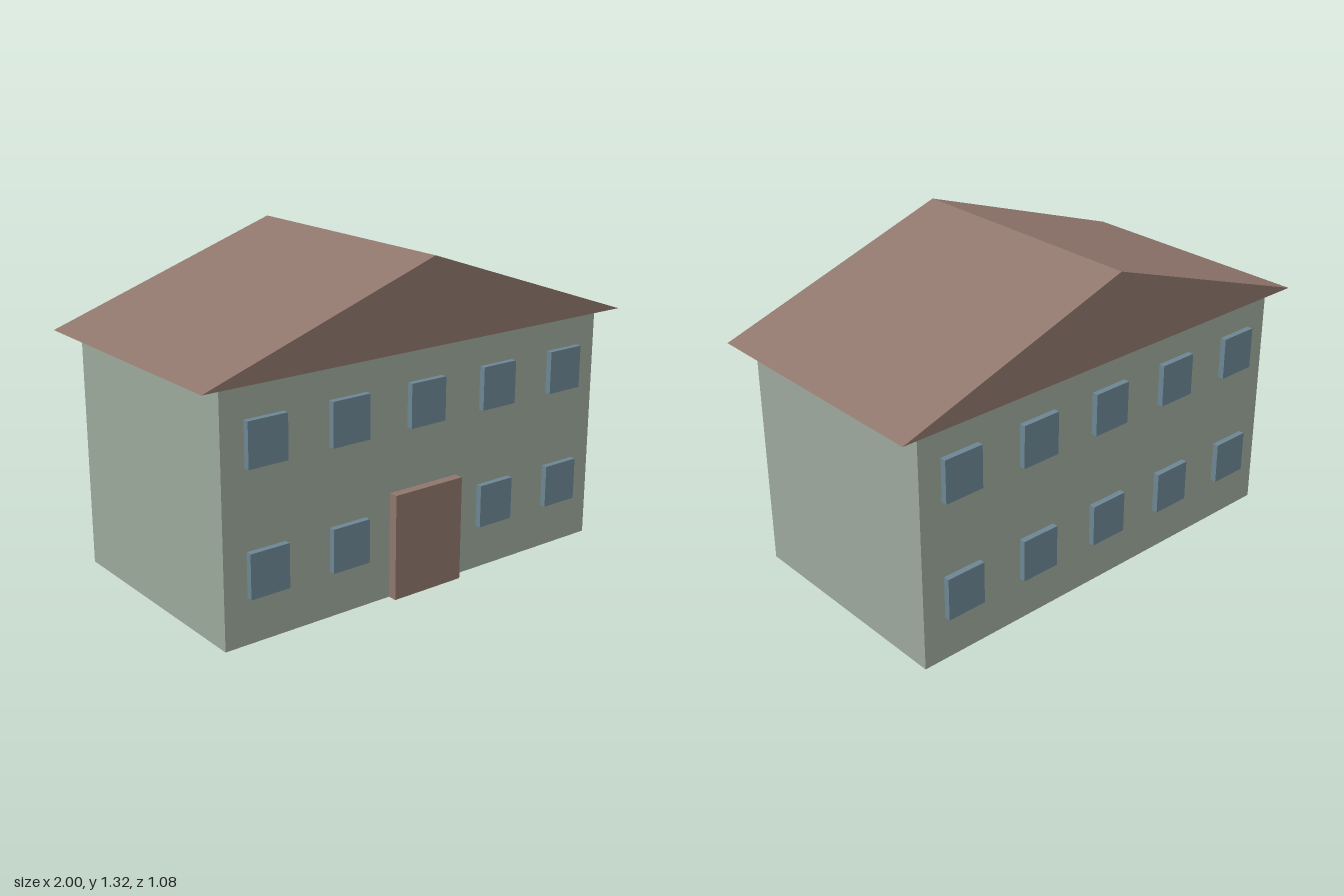
import * as THREE from 'three';

const material = (name, color) => {
  const m = new THREE.MeshStandardMaterial({ color });
  m.name = name;
  return m;
};

export function createModel() {
  const sage = material('sage wall', 0x9ca89c);
  const brown = material('brown roof and door', 0x8f766c);
  const blue = material('blue window', 0x6c8693);

  const house = new THREE.Group();
  house.name = 'house';

  const add = (name, geometry, mat, x = 0, y = 0, z = 0) => {
    const mesh = new THREE.Mesh(geometry, mat);
    mesh.name = name;
    mesh.position.set(x, y, z);
    house.add(mesh);
  };

  // Walls
  const wallTop = 0.977, wallZ = 0.492;
  add('walls', new THREE.BoxGeometry(1.814, wallTop, wallZ * 2), sage, 0, wallTop / 2, 0);

  // Gabled roof, ridge running front to back
  const gable = new THREE.Shape([
    new THREE.Vector2(-1, 0),
    new THREE.Vector2(1, 0),
    new THREE.Vector2(0, 0.341),
  ]);
  const roof = new THREE.ExtrudeGeometry(gable, { depth: 1.076, bevelEnabled: false });
  add('roof', roof, brown, 0, wallTop, -0.538);

  // Front door
  add('door', new THREE.BoxGeometry(0.328, 0.426, 0.038), brown, 0, 0.213, wallZ + 0.019);

  // Two rows of windows on front and back; the door replaces one
  const pane = new THREE.BoxGeometry(0.167, 0.175, 0.025);
  for (const side of [1, -1]) {
    for (const y of [0.27, 0.757]) {
      for (let i = -2; i <= 2; i++) {
        if (side === 1 && i === 0 && y < 0.5) continue;
        add(side === 1 ? 'frontWindow' : 'backWindow', pane, blue, i * 0.363, y, side * (wallZ + 0.0125));
      }
    }
  }
  return house;
}
